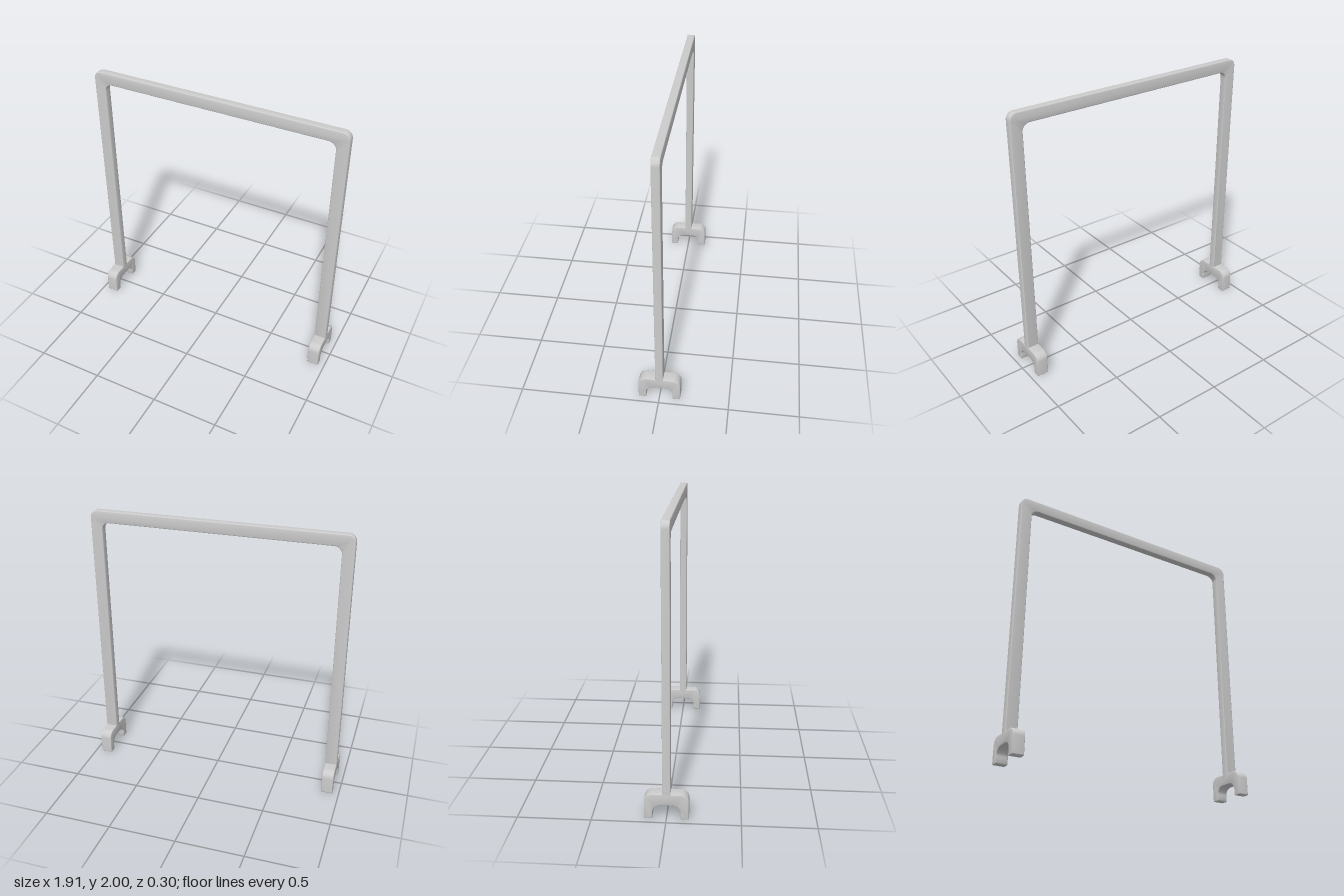
import * as THREE from 'three';
import { toCreasedNormals } from 'three/addons/utils/BufferGeometryUtils.js';

const material = new THREE.MeshStandardMaterial({ color: 0xcccccc });

// Closed outline from [x, y, cornerRadius] points with round fillets
function roundedShape(points) {
  const shape = new THREE.Shape();
  const n = points.length;
  points.forEach(([x, y, r], i) => {
    const corner = new THREE.Vector2(x, y);
    const toward = (j, d) => {
      const p = points[(j + n) % n];
      return new THREE.Vector2(p[0] - x, p[1] - y).setLength(d).add(corner);
    };
    const a = r ? toward(i - 1, r) : corner;
    if (i === 0) shape.moveTo(a.x, a.y);
    else shape.lineTo(a.x, a.y);
    if (r) {
      const b = toward(i + 1, r);
      const c1 = a.clone().lerp(corner, 0.5523);
      const c2 = b.clone().lerp(corner, 0.5523);
      shape.bezierCurveTo(c1.x, c1.y, c2.x, c2.y, b.x, b.y);
    }
  });
  shape.closePath();
  return shape;
}

// Extrusion centred on z, with softened edges inside the outline
function slab(shape, width, bevel) {
  const geometry = new THREE.ExtrudeGeometry(shape, {
    depth: width - 2 * bevel, curveSegments: 10,
    bevelEnabled: true, bevelSize: bevel, bevelThickness: bevel, bevelOffset: -bevel, bevelSegments: 3,
  });
  geometry.translate(0, 0, -(width - 2 * bevel) / 2);
  return toCreasedNormals(geometry, 0.6);
}

export function createModel() {
  const group = new THREE.Group();
  const outer = 0.953, inner = 0.867, base = 0.15;

  // Upside-down U frame: two posts and a crossbar in one piece
  const frameShape = roundedShape([
    [-outer, base, 0], [-inner, base, 0], [-inner, 1.914, 0.055], [inner, 1.914, 0.055],
    [inner, base, 0], [outer, base, 0], [outer, 2, 0.052], [-outer, 2, 0.052],
  ]);
  const frame = new THREE.Mesh(slab(frameShape, 0.055, 0.005), material);
  frame.name = 'frame';
  group.add(frame);

  // Arched clip foot under each post, profile in the z-y plane
  const footShape = roundedShape([
    [-0.15, 0, 0.008], [-0.095, 0, 0.008], [-0.095, 0.1, 0.055], [0.095, 0.1, 0.055],
    [0.095, 0, 0.008], [0.15, 0, 0.008], [0.15, 0.183, 0.055], [-0.15, 0.183, 0.055],
  ]);
  const footGeometry = slab(footShape, outer - inner, 0.005).rotateY(-Math.PI / 2);
  for (const [side, name] of [[1, 'leftFoot'], [-1, 'rightFoot']]) {
    const foot = new THREE.Mesh(footGeometry, material);
    foot.name = name;
    foot.position.x = side * (outer + inner) / 2;
    group.add(foot);
  }
  return group;
}
